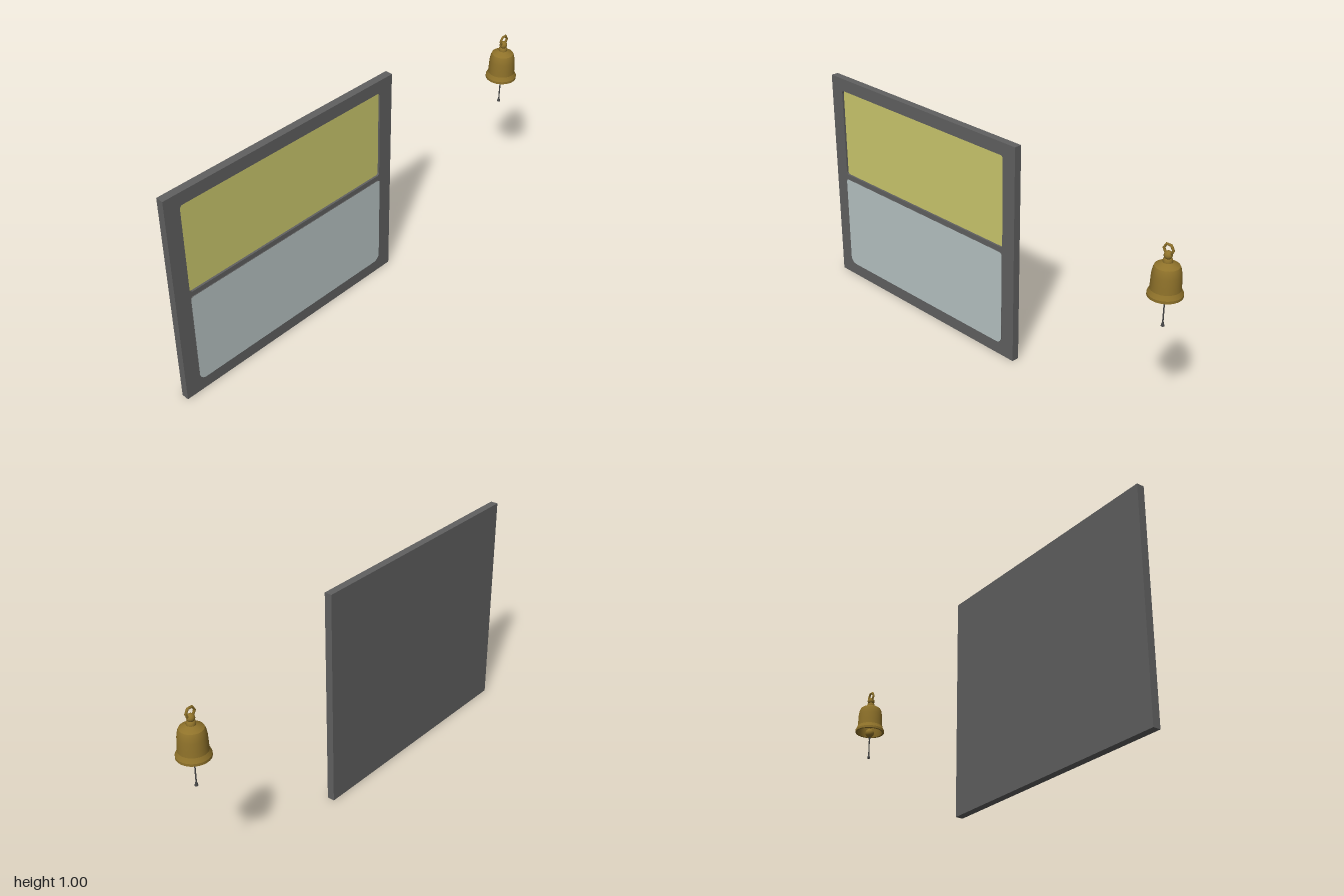
import * as THREE from 'three';

const mat = (name, color, side = THREE.FrontSide) => {
  const m = new THREE.MeshStandardMaterial({ color, side });
  m.name = name;
  return m;
};

// Rounded rectangle with separate bottom and top corner radii
function roundedRect(x0, y0, x1, y1, rb, rt, PathType = THREE.Shape) {
  const p = new PathType();
  p.moveTo(x0 + rb, y0);
  p.lineTo(x1 - rb, y0);
  p.absarc(x1 - rb, y0 + rb, rb, -Math.PI / 2, 0);
  p.lineTo(x1, y1 - rt);
  p.absarc(x1 - rt, y1 - rt, rt, 0, Math.PI / 2);
  p.lineTo(x0 + rt, y1);
  p.absarc(x0 + rt, y1 - rt, rt, Math.PI / 2, Math.PI);
  p.lineTo(x0, y0 + rb);
  p.absarc(x0 + rb, y0 + rb, rb, Math.PI, Math.PI * 1.5);
  return p;
}

export function createModel() {
  const model = new THREE.Group();
  model.name = 'boardAndBell';
  const frameGrey = mat('frame grey', 0x606060);
  const yellow = mat('panel yellow', 0xcbc76c);
  const paleBlue = mat('panel pale blue', 0xb6c2c2);
  const brass = mat('brass', 0x8f722a, THREE.DoubleSide);
  const cordGrey = mat('cord grey', 0x484848);

  const add = (parent, name, geometry, material, x = 0, y = 0, z = 0) => {
    const mesh = new THREE.Mesh(geometry, material);
    mesh.name = name;
    mesh.position.set(x, y, z);
    parent.add(mesh);
    return mesh;
  };
  const extrude = (shape, depth) =>
    new THREE.ExtrudeGeometry(shape, { depth, bevelEnabled: false, curveSegments: 6 });

  // Board: solid back with a front layer cut open around the upper panel
  const board = new THREE.Group();
  board.name = 'board';
  model.add(board);
  const W = 1.17, H = 1.005, left = -1, zFront = 0.017, recess = 0.01;
  const upper = [-0.93, 0.53, 0.102, 0.947, 0.014, 0.014];
  const lower = [-0.93, 0.06, 0.102, 0.507, 0.032, 0.014];
  const backDepth = zFront * 2 - recess;
  add(board, 'boardBack', new THREE.BoxGeometry(W, H, backDepth), frameGrey,
    left + W / 2, H / 2, -zFront + backDepth / 2);
  const frame = new THREE.Shape([
    new THREE.Vector2(left, 0), new THREE.Vector2(left + W, 0),
    new THREE.Vector2(left + W, H), new THREE.Vector2(left, H),
  ]);
  frame.holes.push(roundedRect(...upper, THREE.Path));
  add(board, 'boardFrame', extrude(frame, recess), frameGrey, 0, 0, zFront - recess);

  // Recessed upper panel and slightly raised lower panel
  add(board, 'upperPanel', new THREE.ShapeGeometry(roundedRect(...upper), 6), yellow,
    0, 0, zFront - recess + 0.001);
  add(board, 'lowerPanelEdge', extrude(roundedRect(...lower), 0.003), frameGrey, 0, 0, zFront - 0.0005);
  add(board, 'lowerPanel', new THREE.ShapeGeometry(roundedRect(...lower), 6), paleBlue,
    0, 0, zFront + 0.0032);

  // Bell, hanging beside the board
  const bell = new THREE.Group();
  bell.name = 'bell';
  bell.position.x = 0.93;
  model.add(bell);
  const lathe = (pts) => new THREE.LatheGeometry(pts.map(([r, y]) => new THREE.Vector2(r, y)), 32);

  // Outer wall in crisp bands, then the hollow inside
  const bands = {
    bellRim: [[0.06, 0.646], [0.069, 0.646]],
    bellRimEdge: [[0.069, 0.646], [0.069, 0.657]],
    bellLip: [[0.069, 0.657], [0.064, 0.667], [0.06, 0.676]],
    bellBody: [[0.06, 0.676], [0.0585, 0.70], [0.057, 0.735], [0.053, 0.758], [0.048, 0.77]],
    bellShoulder: [[0.048, 0.77], [0.036, 0.778], [0.02, 0.786]],
    bellNeck: [[0.018, 0.784], [0.018, 0.797], [0.012, 0.801], [0, 0.801]],
    bellInside: [[0, 0.772], [0.034, 0.768], [0.047, 0.75], [0.052, 0.70], [0.054, 0.67], [0.06, 0.646]],
  };
  for (const [name, pts] of Object.entries(bands)) add(bell, name, lathe(pts), brass);

  // Hanging knob and ring
  add(bell, 'bellKnob', new THREE.SphereGeometry(0.017, 16, 12), brass, 0, 0.813, 0);
  const ring = add(bell, 'bellRing', new THREE.TorusGeometry(0.022, 0.0055, 8, 6), brass, 0, 0.836, 0);
  ring.scale.y = 1;

  // Clapper
  add(bell, 'clapperRod', new THREE.CylinderGeometry(0.005, 0.005, 0.12, 10), brass, 0, 0.71, 0);
  add(bell, 'clapperBall', new THREE.SphereGeometry(0.021, 20, 14), brass, 0, 0.643, 0);

  // Pull cord with a loop at the top and a flared end
  add(bell, 'cordLoop', new THREE.TorusGeometry(0.006, 0.002, 6, 12), cordGrey, 0, 0.617, 0);
  add(bell, 'cord', new THREE.CylinderGeometry(0.0028, 0.0028, 0.092, 8), cordGrey, 0, 0.57, 0);
  add(bell, 'cordEnd', new THREE.CylinderGeometry(0.003, 0.0075, 0.018, 10), cordGrey, 0, 0.521, 0);

  return model;
}
